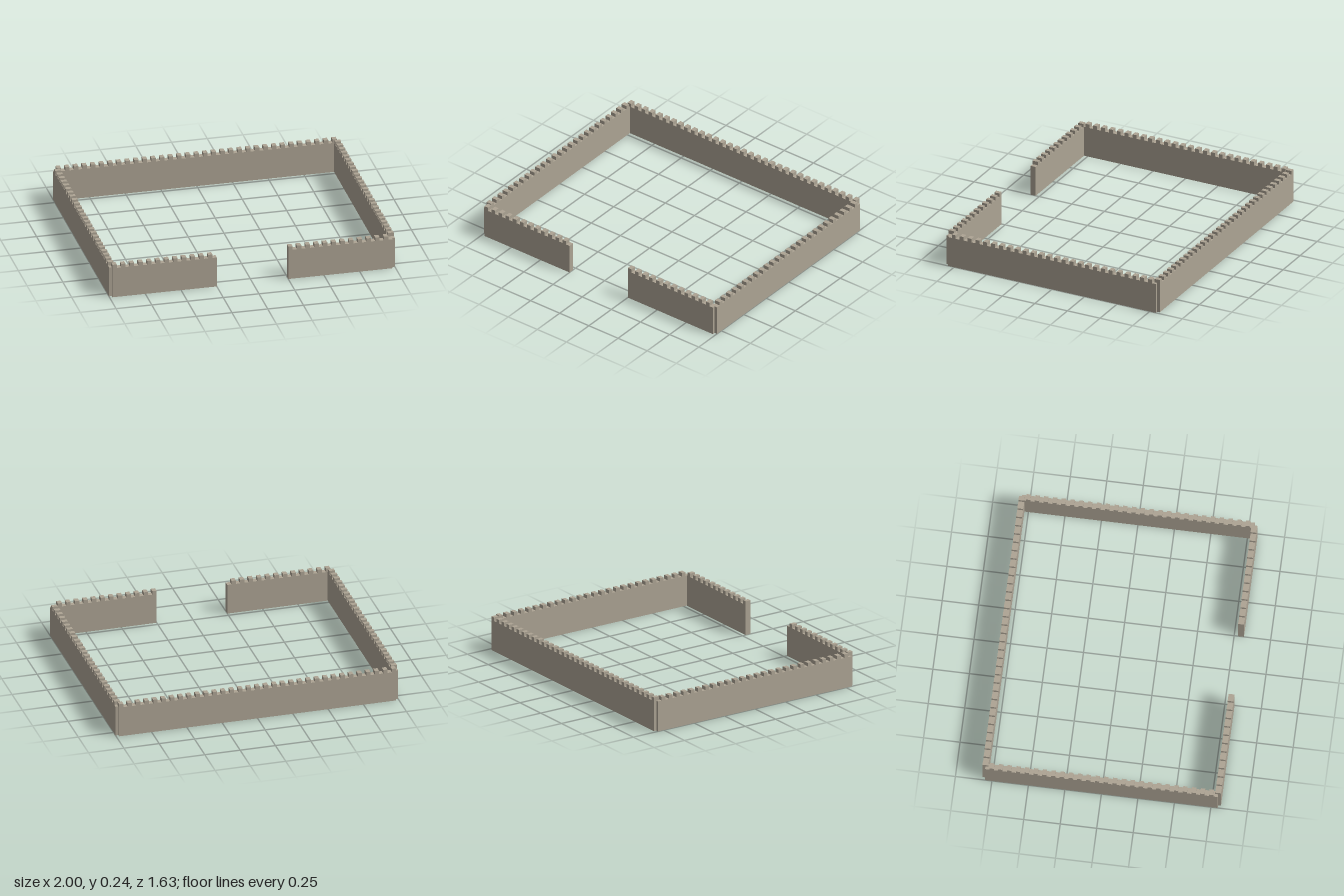
import * as THREE from 'three';

const BODY = 0.217, TOP = 0.243, THICK = 0.04;

// Crenellated wall: toothed outline of equal blocks, centred on its own origin
function wall(name, length, blocks, first, material) {
  const step = length / blocks, x0 = -length / 2;
  const outline = new THREE.Shape();
  outline.moveTo(x0, 0);
  for (let i = 0; i < blocks; i++) {
    const y = i % 2 === first ? TOP : BODY;
    outline.lineTo(x0 + i * step, y);
    outline.lineTo(x0 + (i + 1) * step, y);
  }
  outline.lineTo(-x0, 0);
  outline.closePath();
  const geometry = new THREE.ExtrudeGeometry(outline, { depth: THICK, bevelEnabled: false });
  geometry.translate(0, 0, -THICK / 2);
  const mesh = new THREE.Mesh(geometry, material);
  mesh.name = name;
  return mesh;
}

export function createModel() {
  const group = new THREE.Group();
  group.name = 'castleWalls';
  const stone = new THREE.MeshStandardMaterial({ color: 0xada494 });
  stone.name = 'warm grey stone';

  // Rear curtain wall
  const back = wall('backWall', 1.96, 65, 0, stone);
  back.position.z = -0.797;
  group.add(back);

  // Side walls, and front walls either side of the gateway
  for (const s of [-1, 1]) {
    const label = s > 0 ? 'left' : 'right';
    const side = wall(label + 'SideWall', 1.594, 53, 1, stone);
    side.rotation.y = Math.PI / 2;
    side.position.x = s * 0.98;
    const front = wall(label + 'FrontWall', 0.73, 24, 0, stone);
    front.position.set(s * 0.615, 0, 0.797);
    group.add(side, front);
  }
  return group;
}
